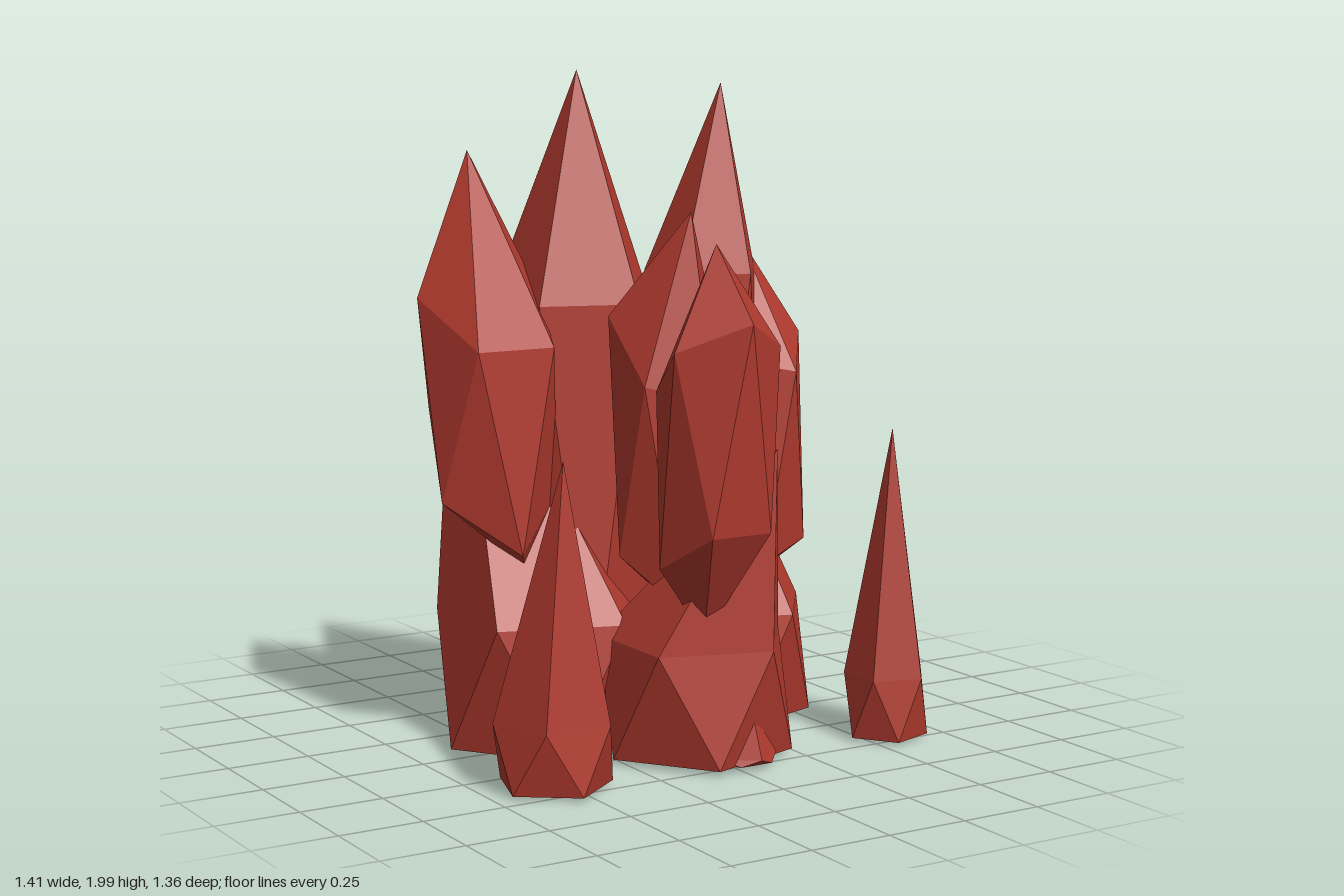
import * as THREE from 'three';

// Closed twenty-faced shard: a tip, two staggered five-point rings and a bottom point.
// c = centre [x, z], tip and base = [x, y, z], upper and lower = ring heights,
// r and rLow = ring radii, turn = angle of the first upper corner in degrees,
// tilt and tiltLow = rise of each ring towards +z.
function shardGeometry({ c, tip, base, upper, lower, r, rLow, turn, tilt = 0, tiltLow = 0 }) {
  const ring = (y, radius, offset, slope) => Array.from({ length: 5 }, (_, i) => {
    const t = THREE.MathUtils.degToRad(turn + offset + i * 72);
    const dz = radius * Math.sin(t);
    return [c[0] + radius * Math.cos(t), y + slope * dz, c[1] + dz];
  });
  const U = ring(upper, r, 0, tilt);
  const L = ring(lower, rLow, 36, tiltLow);
  const points = [];
  for (let i = 0; i < 5; i++) {
    const j = (i + 1) % 5;
    points.push(tip, U[j], U[i]);
    points.push(U[j], L[i], U[i]);
    points.push(L[j], L[i], U[j]);
    points.push(base, L[i], L[j]);
  }
  const geometry = new THREE.BufferGeometry();
  geometry.setAttribute('position', new THREE.Float32BufferAttribute(points.flat(), 3));
  geometry.computeVertexNormals();
  return geometry;
}

export function createModel() {
  const model = new THREE.Group();
  model.name = 'crystalCluster';
  const red = new THREE.MeshStandardMaterial({ color: 0xb03a2e, flatShading: true });
  red.name = 'crystal red';

  const add = (name, spec) => {
    const mesh = new THREE.Mesh(shardGeometry(spec), red);
    mesh.name = name;
    model.add(mesh);
  };

  // Tall shards
  const tall = [
    { name: 'centreShard', c: [-0.14, -0.17], tip: [-0.14, 2, -0.16], upper: 1.32, lower: 0.18, base: [-0.14, 0.1, -0.2], r: 0.255, rLow: 0.235, turn: 0 },
    { name: 'leftShard', c: [0.22, -0.02], tip: [0.27, 1.96, -0.01], upper: 1.4, lower: 0.65, base: [0.2, 0.5, 0], r: 0.18, rLow: 0.17, turn: 0 },
    { name: 'rightShard', c: [-0.46, -0.12], tip: [-0.48, 1.77, -0.21], upper: 1.31, lower: 0.83, base: [-0.4, 0.55, -0.02], r: 0.21, rLow: 0.2, turn: -90, tilt: -0.6, tiltLow: -1.1 },
    { name: 'innerShard', c: [-0.03, 0.18], tip: [0.01, 1.6, 0.24], upper: 1.2, lower: 0.6, base: [-0.03, 0.45, 0.18], r: 0.175, rLow: 0.165, turn: 0, tilt: -0.9, tiltLow: -0.9 },
    { name: 'frontShard', c: [-0.06, 0.49], tip: [-0.07, 1.53, 0.5], upper: 1.2, lower: 0.64, base: [-0.08, 0.4, 0.46], r: 0.185, rLow: 0.165, turn: 90, tilt: 0.65, tiltLow: 0.6 },
    { name: 'outerLeftShard', c: [0.37, 0.01], tip: [0.38, 1.49, -0.07], upper: 1.2, lower: 0.66, base: [0.42, 0.5, 0.06], r: 0.175, rLow: 0.165, turn: 0, tilt: -0.6, tiltLow: -0.9 },
  ];
  for (const { name, ...spec } of tall) add(name, spec);

  // Broad leaning shards that form the foot of the cluster, hollow underneath
  const foot = [
    { name: 'frontFoot', c: [0, 0.29], tip: [0.12, 0.94, 0.53], r: 0.288, upper: 0.36, lower: 0.03 },
    { name: 'leftFoot', c: [0.32, -0.065], tip: [0.28, 1.18, -0.27], r: 0.275, upper: 0.36, lower: 0.03 },
    { name: 'rightFoot', c: [-0.29, -0.1], tip: [-0.4, 1.37, -0.45], r: 0.325, upper: 0.4, lower: 0.015 },
  ];
  for (const { name, ...spec } of foot) {
    add(name, { ...spec, turn: 0, rLow: spec.r * 0.98, base: [spec.c[0], 0.2, spec.c[1]] });
  }

  // Small separate shards around the cluster
  const small = [
    { name: 'smallFrontLeft', c: [0.58, 0.44], tip: [0.59, 0.95, 0.44], r: 0.127, turn: 0 },
    { name: 'smallFrontRight', c: [-0.54, 0.4], tip: [-0.535, 0.95, 0.45], r: 0.174, turn: -90 },
    { name: 'smallBack', c: [0.1, -0.535], tip: [0.1, 0.8, -0.53], r: 0.15, turn: -90 },
  ];
  for (const { name, ...spec } of small) {
    add(name, { ...spec, upper: 0.21, lower: 0.025, rLow: spec.r * 0.97, base: [spec.c[0], 0.11, spec.c[1]] });
  }

  // Tiny shard at the front of the foot
  add('tinyShard', { c: [0.04, 0.48], tip: [0.04, 0.18, 0.53], upper: 0.05, lower: 0.03, base: [0.04, 0.06, 0.48], r: 0.1, rLow: 0.09, turn: 90 });

  return model;
}
